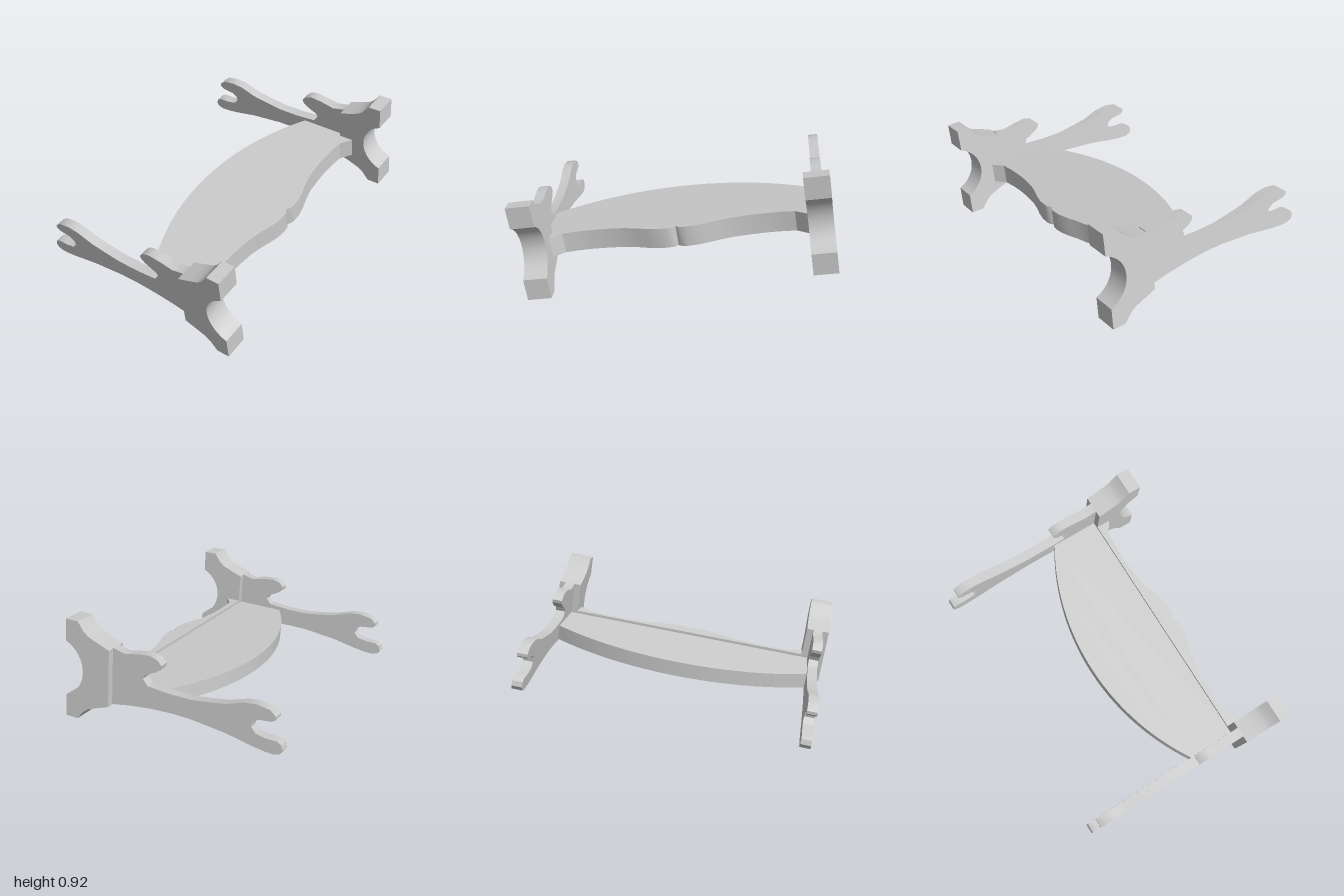
import * as THREE from 'three';
import { toCreasedNormals } from 'three/addons/utils/BufferGeometryUtils.js';

const TILT = 0.1542;      // the whole rack leans about z
const SIDE = 0.886;       // distance of each side support from the middle
const material = new THREE.MeshStandardMaterial({ color: 0xcccccc });

const toShape = (points) => new THREE.Shape(points.map(([x, y]) => new THREE.Vector2(x, y)));

function extrude(shape, depth) {
  return new THREE.ExtrudeGeometry(shape, { depth, bevelEnabled: false, curveSegments: 24 });
}

// Side profile given as [z, height], extruded across the width
function sidePlate(points, width) {
  const geo = extrude(toShape(points.map(([z, y]) => [-z, y])), width);
  geo.translate(0, 0, -width / 2).rotateY(Math.PI / 2);
  return toCreasedNormals(geo, 0.6);
}

// Plan outline given as [x, z], extruded upward from bottom to top
function board(points, bottom, top) {
  const geo = extrude(toShape(points.map(([x, z]) => [x, -z])), top - bottom);
  geo.rotateX(-Math.PI / 2).translate(0, bottom, 0);
  return toCreasedNormals(geo, 0.5);
}

function part(name, geometry, x = 0) {
  const mesh = new THREE.Mesh(geometry, material);
  mesh.name = name;
  mesh.position.x = x;
  return mesh;
}

// Thick foot block: upper half of its outline, mirrored below, with a scooped front
function footGeometry() {
  const upper = [[0.41, 0.183], [0.48, 0.208], [0.555, 0.237], [0.59, 0.265], [0.63, 0.318], [0.715, 0.318]];
  const scoop = [];
  const a = Math.asin(0.177 / 0.19);
  for (let i = 0; i <= 20; i++) {
    const t = a - (2 * a * i) / 20;
    scoop.push([0.783 - 0.19 * Math.cos(t), 0.19 * Math.sin(t)]);
  }
  const lower = upper.map(([z, y]) => [z, -y]).reverse();
  return sidePlate([...upper, ...scoop, ...lower], 0.152);
}

// Thin bracket: short upper hook and long forked arm
function bracketGeometry() {
  return sidePlate([
    [0.41, 0.188], [0.328, 0.169], [0.236, 0.188], [0.159, 0.197], [0.109, 0.183],
    [0.079, 0.153], [0.082, 0.133], [0.109, 0.107], [0.148, 0.087], [0.19, 0.068],
    [0.2, 0.041], [0.167, 0.002], [0.025, -0.009], [-0.12, -0.009], [-0.23, 0.006],
    [-0.343, 0.025], [-0.458, 0.064], [-0.534, 0.074], [-0.619, 0.061], [-0.657, 0.029],
    [-0.657, 0.01], [-0.634, -0.006], [-0.55, -0.017], [-0.515, -0.04], [-0.511, -0.072],
    [-0.542, -0.106], [-0.607, -0.118], [-0.672, -0.118], [-0.703, -0.134], [-0.713, -0.165],
    [-0.699, -0.191], [-0.661, -0.203], [-0.607, -0.201], [-0.534, -0.191], [-0.358, -0.157],
    [-0.128, -0.132], [0, -0.13], [0.14, -0.138], [0.28, -0.155], [0.41, -0.18],
  ], 0.065);
}

// Shelf with a bowed back edge
function shelfGeometry() {
  const half = 0.855, radius = 1.625, points = [[half, 0.41], [-half, 0.41]];
  for (let i = 0; i <= 32; i++) {
    const x = -half + (2 * half * i) / 32;
    points.push([x, -0.15 + radius - Math.sqrt(radius * radius - x * x)]);
  }
  return board(points, -0.125, -0.028);
}

// Front apron with a scalloped face and a small notch in the middle
function apronGeometry() {
  const right = [[0.025, 0.517], [0.06, 0.521], [0.12, 0.517], [0.19, 0.5], [0.26, 0.477],
    [0.342, 0.457], [0.45, 0.445], [0.556, 0.44], [0.65, 0.443], [0.735, 0.452], [0.81, 0.505], [0.81, 0.41]];
  const left = right.map(([x, z]) => [-x, z]).reverse();
  return board([...left, [0, 0.5], ...right], -0.143, -0.01);
}

export function createModel() {
  const model = new THREE.Group();
  model.name = 'displayRack';
  const rack = new THREE.Group();
  rack.name = 'tiltedRack';
  rack.rotation.z = TILT;
  rack.position.y = 0.465;
  model.add(rack);

  const foot = footGeometry(), bracket = bracketGeometry();
  for (const [label, sign] of [['left', 1], ['right', -1]]) {
    const support = new THREE.Group();
    support.name = `${label}Support`;
    support.add(part(`${label}Foot`, foot, sign * SIDE), part(`${label}Bracket`, bracket, sign * SIDE));
    rack.add(support);
  }
  rack.add(part('shelf', shelfGeometry()), part('frontApron', apronGeometry()));
  return model;
}
